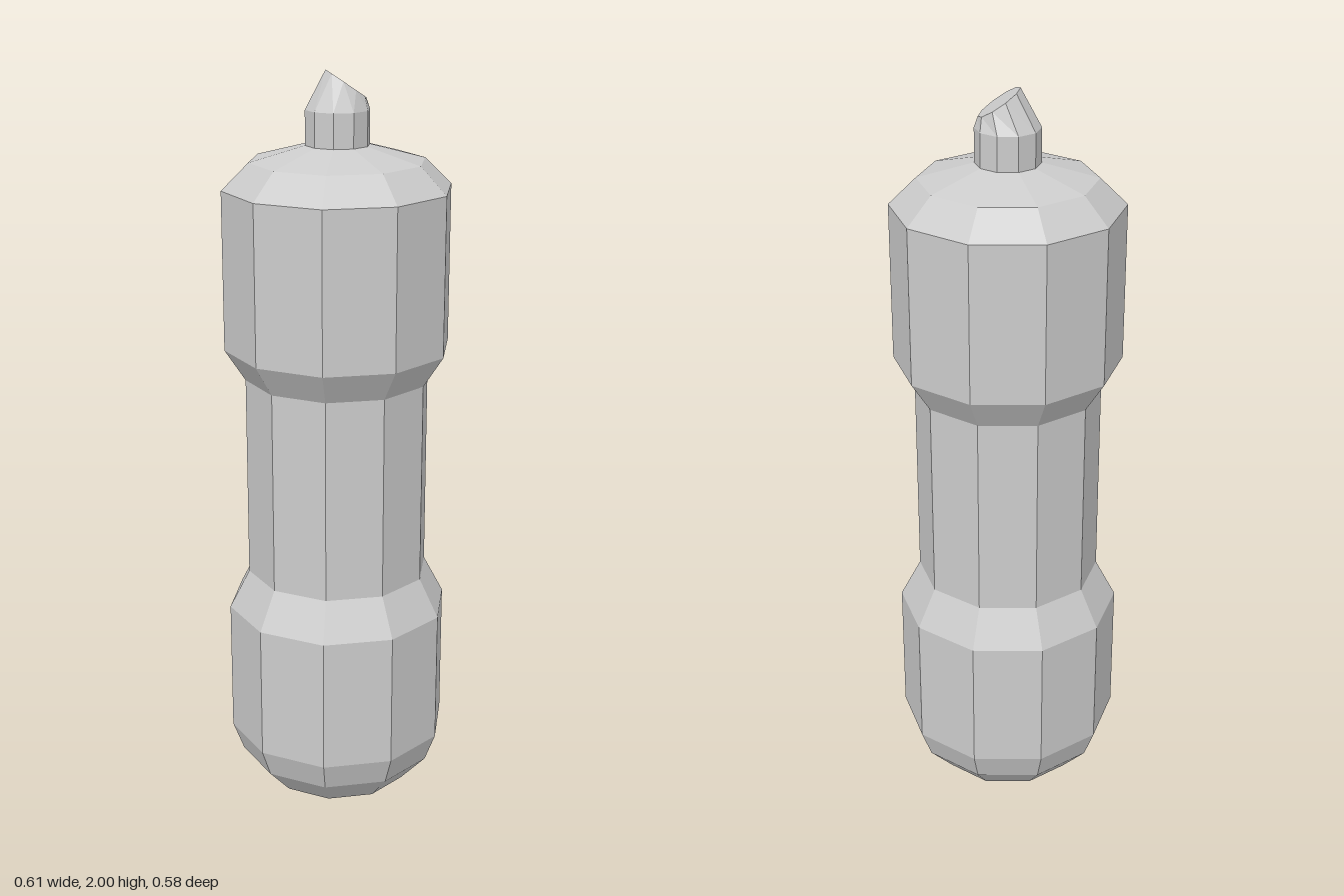
import * as THREE from 'three';

const SIDES = 10;

// Ten-sided turned solid with corners on the x axis
function turned(points) {
  const profile = points.map(([r, y]) => new THREE.Vector2(r, y));
  return new THREE.LatheGeometry(profile, SIDES, Math.PI / 2);
}

export function createModel() {
  const group = new THREE.Group();
  group.name = 'bottle';
  const material = new THREE.MeshStandardMaterial({ color: 0xcccccc, flatShading: true });

  function add(name, geometry) {
    const mesh = new THREE.Mesh(geometry, material);
    mesh.name = name;
    group.add(mesh);
  }

  // Body: rounded base, narrow grip, bevelled shoulder
  add('body', turned([
    [0, 0], [0.202, 0], [0.275, 0.08], [0.305, 0.16],
    [0.305, 0.53], [0.25, 0.635], [0.25, 1.19], [0.305, 1.275],
    [0.305, 1.7], [0.233, 1.77], [0.085, 1.81], [0, 1.81],
  ]));

  // Nozzle: short tube narrowing to a slanted, off-centre tip
  const nozzle = turned([[0.085, 1.805], [0.085, 1.9], [0.053, 1.964], [0, 1.964]]);
  const pos = nozzle.attributes.position;
  for (let i = 0; i < pos.count; i++) {
    if (pos.getY(i) < 1.95) continue;
    const x = pos.getX(i);
    pos.setXY(i, x + 0.022, 1.964 - 0.68 * x);
  }
  nozzle.computeVertexNormals();
  add('nozzle', nozzle);

  return group;
}
